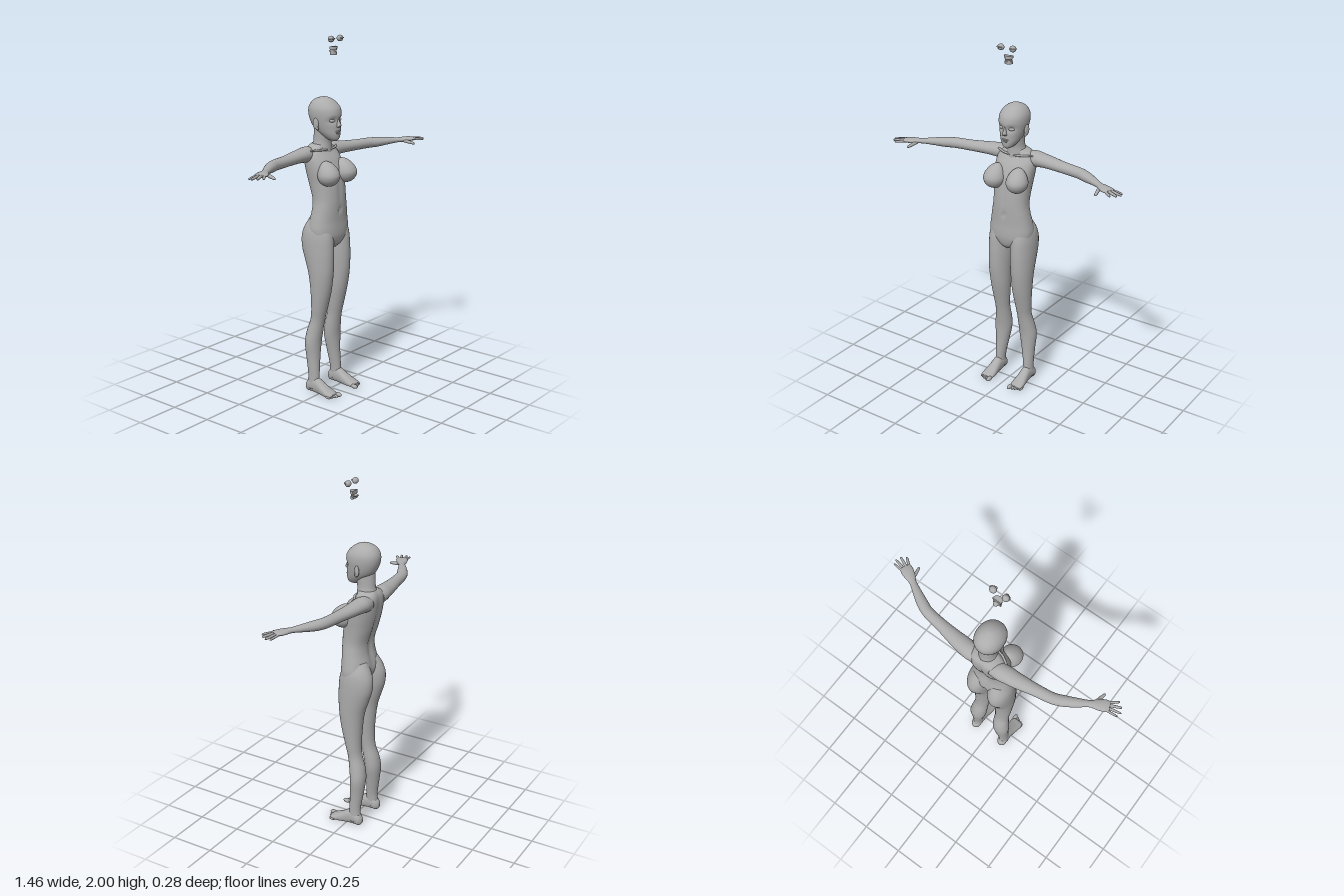
import * as THREE from 'three';

const skin = new THREE.MeshStandardMaterial({ color: 0xacacac });
skin.name = 'plain grey';

// Smooth interpolation through rows of numbers
function spline(rows, t) {
  const n = rows.length - 1, f = t * n, i = Math.min(Math.floor(f), n - 1), w = f - i;
  const at = (k) => rows[Math.max(0, Math.min(n, k))];
  return rows[0].map((_, c) => {
    const a = at(i - 1)[c], b = at(i)[c], d = at(i + 1)[c], e = at(i + 2)[c];
    const m0 = (d - a) / 2, m1 = (e - b) / 2, w2 = w * w, w3 = w2 * w;
    return (2 * w3 - 3 * w2 + 1) * b + (w3 - 2 * w2 + w) * m0 + (3 * w2 - 2 * w3) * d + (w3 - w2) * m1;
  });
}

// Loft of elliptical rings; rows are [x, y, z, ru, rv]
function loft(rows, axis, { segs = 28, steps = 5, power = 1, rule } = {}) {
  const total = (rows.length - 1) * steps, pos = [], idx = [];
  const u = new THREE.Vector3(), v = new THREE.Vector3(), p = new THREE.Vector3();
  const bend = (c) => Math.sign(c) * Math.pow(Math.abs(c), power);
  for (let i = 0; i <= total; i++) {
    const [x, y, z, ru, rv] = spline(rows, i / total);
    if (axis === 'y') { u.set(0, 0, 1); v.set(1, 0, 0); }
    else if (axis === 'z') { u.set(1, 0, 0); v.set(0, 1, 0); }
    else {
      const a = spline(rows, Math.max(0, i - 0.5) / total), b = spline(rows, Math.min(total, i + 0.5) / total);
      u.set(0, 1, 0);
      v.set(a[2] - b[2], 0, b[0] - a[0]).normalize();
    }
    for (let j = 0; j < segs; j++) {
      const t = (j / segs) * Math.PI * 2;
      p.set(x, y, z).addScaledVector(u, bend(Math.cos(t)) * Math.max(ru, 0.001))
        .addScaledVector(v, bend(Math.sin(t)) * Math.max(rv, 0.001));
      if (rule) rule(p);
      pos.push(p.x, p.y, p.z);
      if (i < total) {
        const k = (j + 1) % segs, a = i * segs + j, b = i * segs + k;
        idx.push(a, b, b + segs, a, b + segs, a + segs);
      }
    }
  }
  // end caps
  const first = pos.length / 3, last = total * segs;
  pos.push(...rows[0].slice(0, 3), ...rows[rows.length - 1].slice(0, 3));
  for (let j = 0; j < segs; j++) {
    const k = (j + 1) % segs;
    idx.push(first, k, j, first + 1, last + j, last + k);
  }
  const g = new THREE.BufferGeometry();
  g.setAttribute('position', new THREE.Float32BufferAttribute(pos, 3));
  g.setIndex(idx);
  g.computeVertexNormals();
  return g;
}

// Upright rows [y, x, back z, front z, half width]
const upright = (rows, opt) =>
  loft(rows.map(([y, x, b, f, w]) => [x, y, (b + f) / 2, (f - b) / 2, w]), 'y', opt);

const ball = (x, y, z, rx, ry, rz, turn = 0, n = 20) =>
  new THREE.SphereGeometry(1, n, Math.round(n * 0.7)).scale(rx, ry, rz).rotateY(turn).translate(x, y, z);

function mirrored(g) {
  const m = g.clone().scale(-1, 1, 1), a = m.index.array;
  for (let i = 0; i < a.length; i += 3) [a[i], a[i + 1]] = [a[i + 1], a[i]];
  return m;
}

const bump = (d, w) => Math.exp(-(d * d) / (w * w));

export function createModel() {
  const model = new THREE.Group();
  model.name = 'figure';
  const add = (name, g) => {
    const m = new THREE.Mesh(g, skin);
    m.name = name;
    model.add(m);
  };
  const pair = (name, g) => {
    add(name + 'Left', g);
    add(name + 'Right', mirrored(g));
  };

  // Torso with a spine groove, a midline and a navel
  add('torso', upright([
    [0.845, 0, -0.05, 0.025, 0.012], [0.87, 0, -0.07, 0.05, 0.06], [0.91, 0, -0.095, 0.062, 0.12],
    [0.95, 0, -0.108, 0.064, 0.131], [1.0, 0, -0.102, 0.062, 0.124], [1.06, 0, -0.09, 0.063, 0.112],
    [1.12, 0, -0.092, 0.063, 0.103], [1.2, 0, -0.117, 0.057, 0.106], [1.27, 0, -0.134, 0.045, 0.114],
    [1.33, 0, -0.142, 0.018, 0.118], [1.37, 0, -0.142, -0.01, 0.112], [1.395, 0, -0.136, -0.025, 0.088],
    [1.415, 0, -0.122, -0.025, 0.05],
  ], {
    segs: 56, power: 0.9, rule: (p) => {
      if (p.z < -0.06) p.z += 0.013 * bump(p.x, 0.018) * bump(p.y - 1.15, 0.22);
      if (p.z > 0) p.z -= 0.005 * bump(p.x, 0.014) * bump(p.y - 1.17, 0.1)
        + 0.008 * bump(p.x, 0.008) * bump(p.y - 1.06, 0.015);
    },
  }));

  // Chest forms, fuller below and sloping above
  const chest = new THREE.SphereGeometry(1, 32, 24);
  const cp = chest.attributes.position;
  for (let i = 0; i < cp.count; i++) {
    const y = cp.getY(i);
    if (y > 0) cp.setXYZ(i, cp.getX(i) * (1 - 0.15 * y), y * 1.2, cp.getZ(i) * (1 - 0.2 * y) - 0.35 * y * y);
  }
  chest.scale(0.061, 0.061, 0.064).rotateY(0.2).translate(0.073, 1.262, 0.041);
  chest.computeVertexNormals();
  pair('chest', chest);

  // Neck and collarbones
  add('neck', upright([
    [1.36, 0, -0.13, -0.01, 0.06], [1.4, 0, -0.122, -0.012, 0.052], [1.43, 0, -0.114, -0.012, 0.045],
    [1.47, 0, -0.112, -0.005, 0.044], [1.52, 0, -0.11, 0, 0.045],
  ]));
  pair('collarbone', loft([
    [0.012, 1.385, -0.018, 0.005, 0.006], [0.06, 1.388, -0.026, 0.006, 0.007],
    [0.11, 1.388, -0.055, 0.005, 0.006],
  ], 'x', { segs: 10 }));

  // Head with eye sockets
  add('head', upright([
    [1.438, 0, -0.005, 0.036, 0.012], [1.45, 0, -0.03, 0.046, 0.03], [1.475, 0, -0.065, 0.05, 0.048],
    [1.505, 0, -0.105, 0.05, 0.061], [1.54, 0, -0.127, 0.049, 0.071], [1.58, 0, -0.139, 0.051, 0.077],
    [1.615, 0, -0.137, 0.042, 0.074], [1.645, 0, -0.118, 0.014, 0.057], [1.663, 0, -0.088, -0.016, 0.032],
    [1.671, 0, -0.055, -0.045, 0.005],
  ], {
    segs: 48, power: 0.94, rule: (p) => {
      if (p.z > 0) p.z -= 0.012 * bump(Math.abs(p.x) - 0.032, 0.02) * bump(p.y - 1.552, 0.015);
    },
  }));
  add('nose', upright([
    [1.512, 0, 0.035, 0.05, 0.01], [1.52, 0, 0.03, 0.064, 0.014], [1.528, 0, 0.03, 0.066, 0.011],
    [1.55, 0, 0.03, 0.054, 0.007], [1.575, 0, 0.03, 0.048, 0.006],
  ], { segs: 16 }));
  pair('eyelid', ball(0.031, 1.55, 0.031, 0.017, 0.009, 0.009, 0.35));
  add('upperLip', ball(0, 1.491, 0.046, 0.021, 0.0045, 0.009));
  add('lowerLip', ball(0, 1.482, 0.045, 0.017, 0.0055, 0.009));
  pair('ear', ball(0.075, 1.533, -0.047, 0.007, 0.03, 0.017, -0.3));
  pair('earLobe', ball(0.071, 1.508, -0.04, 0.006, 0.011, 0.009, -0.3, 12));

  // Arms, ending in the palm
  pair('arm', loft([
    [0.05, 1.355, -0.1, 0.042, 0.04], [0.1, 1.362, -0.095, 0.043, 0.049], [0.15, 1.363, -0.09, 0.038, 0.047],
    [0.2, 1.362, -0.085, 0.034, 0.043], [0.3, 1.359, -0.07, 0.03, 0.034], [0.4, 1.358, -0.054, 0.029, 0.031],
    [0.46, 1.358, -0.029, 0.027, 0.03], [0.52, 1.36, 0.004, 0.02, 0.024], [0.57, 1.361, 0.034, 0.014, 0.019],
    [0.605, 1.362, 0.053, 0.014, 0.029], [0.64, 1.363, 0.071, 0.012, 0.034], [0.662, 1.362, 0.081, 0.008, 0.029],
  ], 'x'));

  // Fingers and thumb: knuckle to tip
  [
    ['littleFinger', 0.66, 1.362, 0.054, 0.722, 1.356, 0.062, 0.0065],
    ['ringFinger', 0.658, 1.363, 0.069, 0.729, 1.358, 0.086, 0.0075],
    ['middleFinger', 0.652, 1.363, 0.083, 0.716, 1.36, 0.113, 0.008],
    ['indexFinger', 0.642, 1.362, 0.094, 0.69, 1.36, 0.133, 0.0075],
    ['thumb', 0.588, 1.357, 0.06, 0.603, 1.345, 0.13, 0.0095],
  ].forEach(([name, x, y, z, X, Y, Z, r]) => {
    const at = (t, k) => [x + (X - x) * t, y + (Y - y) * t, z + (Z - z) * t, r * k, r * k];
    pair(name, loft([at(-0.15, 0.9), at(0.3, 1), at(0.65, 0.9), at(0.92, 0.7), at(1, 0.15)], 'x', { segs: 12, steps: 3 }));
  });

  // Legs from ankle to hip, full at the back of the hip
  pair('leg', upright([
    [0.025, 0.1, -0.088, -0.012, 0.028], [0.1, 0.097, -0.082, -0.014, 0.029], [0.2, 0.09, -0.096, -0.018, 0.039],
    [0.29, 0.085, -0.106, -0.017, 0.051], [0.36, 0.079, -0.098, -0.008, 0.048], [0.43, 0.074, -0.077, 0.004, 0.043],
    [0.5, 0.073, -0.071, 0.021, 0.048], [0.6, 0.072, -0.076, 0.045, 0.056], [0.7, 0.073, -0.09, 0.06, 0.061],
    [0.79, 0.072, -0.119, 0.064, 0.066], [0.85, 0.071, -0.137, 0.063, 0.068], [0.91, 0.069, -0.139, 0.058, 0.068],
    [0.96, 0.065, -0.123, 0.045, 0.063], [1.01, 0.058, -0.095, 0.02, 0.045],
  ], { segs: 32 }));

  // Feet with flat soles
  pair('foot', loft([
    [0.1, 0.03, -0.096, 0.012, 0.014], [0.1, 0.034, -0.08, 0.027, 0.034], [0.099, 0.045, -0.05, 0.029, 0.045],
    [0.099, 0.042, -0.015, 0.029, 0.045], [0.1, 0.028, 0.025, 0.033, 0.034], [0.101, 0.018, 0.065, 0.038, 0.022],
    [0.101, 0.014, 0.092, 0.036, 0.014], [0.101, 0.013, 0.102, 0.03, 0.008],
  ], 'z', { power: 0.9, rule: (p) => { p.y = Math.max(p.y, 0.004); } }));
  for (let i = 0; i < 5; i++) {
    const r = i ? 0.0085 - i * 0.0003 : 0.0125;
    pair('toe' + (i + 1), ball(i ? 0.077 + i * 0.0145 : 0.073, r, 0.108 - i * 0.006, r, r, i ? 0.02 : 0.024, 0, 14));
  }

  // Separate eyes and mouth pieces above the head
  pair('spareEye', ball(0.037, 1.983, 0.028, 0.019, 0.017, 0.017));
  pair('spareLash', ball(0.041, 1.985, 0.038, 0.02, 0.004, 0.011, 0.4, 12));
  const arch = (r, h, y) => {
    const s = new THREE.Shape();
    s.absellipse(0, 0, r, r * 1.05, 0, Math.PI, false);
    return new THREE.ExtrudeGeometry(s, { depth: h, bevelEnabled: false, curveSegments: 16 })
      .rotateX(Math.PI / 2).translate(0, y, 0.008);
  };
  add('upperGum', arch(0.026, 0.012, 1.942));
  add('upperTeeth', arch(0.022, 0.007, 1.93));
  add('lowerTeeth', arch(0.02, 0.007, 1.918));
  add('lowerGum', arch(0.023, 0.012, 1.91));
  add('tongue', ball(0, 1.917, 0.005, 0.014, 0.007, 0.018));
  return model;
}
